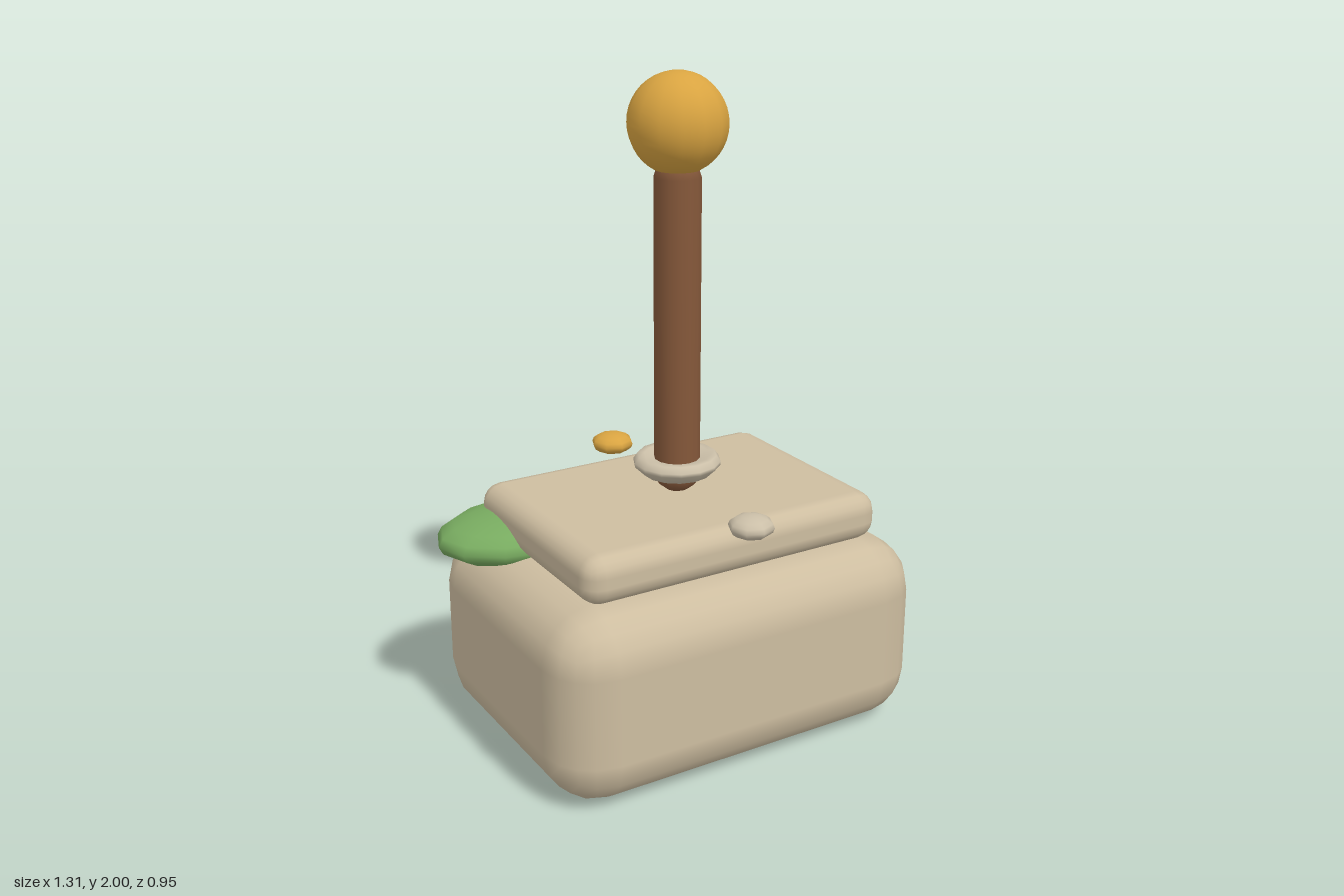
import * as THREE from 'three';
import { RoundedBoxGeometry } from 'three/addons/geometries/RoundedBoxGeometry.js';

export function createModel() {
  const group = new THREE.Group();
  const mat = (name, color) => {
    const m = new THREE.MeshStandardMaterial({ color });
    m.name = name;
    return m;
  };
  const sandstone = mat('sandstone', 0xcdbda0);
  const paleStone = mat('paleStone', 0xcbbfa8);
  const wood = mat('wood', 0x85583a);
  const gold = mat('gold', 0xd9a441);
  const moss = mat('moss', 0x78ab60);

  const CX = 0.03; // axis of the post

  const add = (name, geometry, material, x, y, z) => {
    const mesh = new THREE.Mesh(geometry, material);
    mesh.name = name;
    mesh.position.set(x, y, z);
    group.add(mesh);
    return mesh;
  };
  const ellipsoid = (rx, ry, rz, sides, rings) =>
    new THREE.SphereGeometry(1, sides, rings).scale(rx, ry, rz);
  const lathe = (points, sides) =>
    new THREE.LatheGeometry(points.map(([r, y]) => new THREE.Vector2(r, y)), sides);

  // Plinth: rounded block with a thinner slab on top
  add('base', new RoundedBoxGeometry(1.245, 0.6, 0.93, 2, 0.165), sandstone, CX, 0.3, 0);
  add('slab', new RoundedBoxGeometry(1.005, 0.15, 0.725, 2, 0.06), sandstone, CX, 0.674, 0);

  // Post with rounded ends
  add('post', lathe([
    [0, 0.748], [0.035, 0.75], [0.058, 0.768], [0.07, 0.8],
    [0.07, 1.7], [0.058, 1.735], [0.035, 1.75], [0, 1.75],
  ], 14), wood, CX, 0, 0);

  // Collar around the foot of the post
  add('collar', lathe([
    [0.06, 0.8], [0.103, 0.8], [0.133, 0.829], [0.133, 0.84],
    [0.12, 0.858], [0.1, 0.858], [0.06, 0.846],
  ], 14), paleStone, CX, 0, 0);

  // Ball finial
  const ball = add('ball', ellipsoid(0.147, 0.147, 0.147, 14, 20), gold, CX, 1.853, 0);
  ball.rotation.y = Math.PI / 2;

  // Floating pebbles in front and behind
  add('frontPebble', ellipsoid(0.068, 0.034, 0.068, 8, 8), paleStone, CX, 0.768, 0.405);
  add('backPebble', ellipsoid(0.068, 0.034, 0.068, 8, 8), gold, CX, 0.768, -0.405);

  // Moss patch on the rear corner
  add('mossPatch', ellipsoid(0.28, 0.08, 0.195, 12, 10), moss, -0.375, 0.61, -0.245);

  return group;
}
